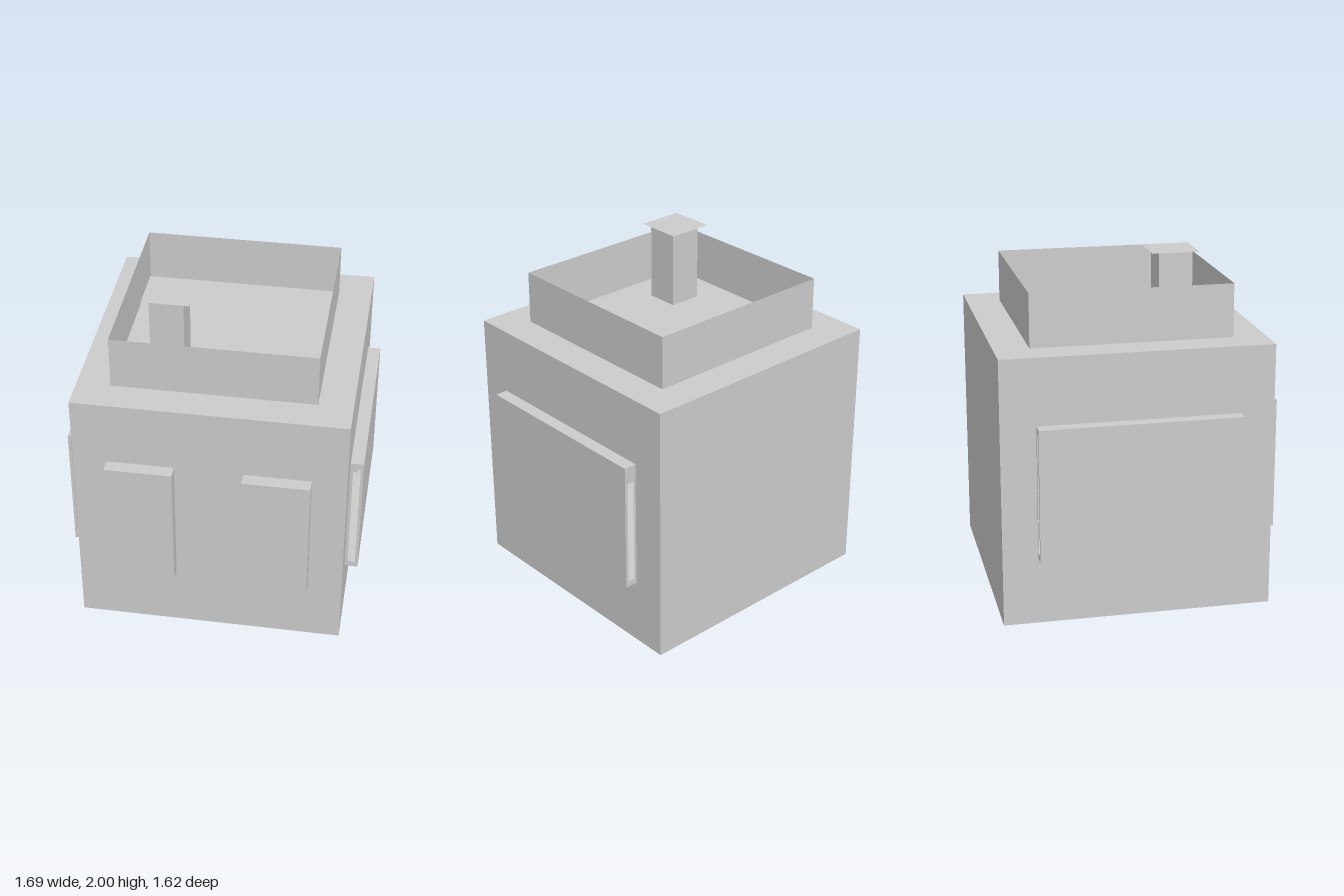
import * as THREE from 'three';
import { mergeGeometries } from 'three/addons/utils/BufferGeometryUtils.js';

const material = new THREE.MeshStandardMaterial({ color: 0xcccccc, side: THREE.DoubleSide, flatShading: true });

function outline(target, [u0, v0, u1, v1]) {
  target.moveTo(u0, v0);
  target.lineTo(u1, v0);
  target.lineTo(u1, v1);
  target.lineTo(u0, v1);
  target.closePath();
  return target;
}

// Thin rectangle across one axis; rect is (z,y) for x, (x,z) for y, (x,y) for z.
function face(axis, at, rect, holes = []) {
  const shape = outline(new THREE.Shape(), rect);
  shape.holes = holes.map((h) => outline(new THREE.Path(), h));
  const g = new THREE.ShapeGeometry(shape);
  if (axis === 'x') return g.rotateY(-Math.PI / 2).translate(at, 0, 0);
  if (axis === 'y') return g.rotateX(Math.PI / 2).translate(0, at, 0);
  return g.translate(0, 0, at);
}

// Four upright walls without top or bottom
function ring(x0, x1, y0, y1, z0, z1) {
  return [
    face('x', x0, [z0, y0, z1, y1]), face('x', x1, [z0, y0, z1, y1]),
    face('z', z0, [x0, y0, x1, y1]), face('z', z1, [x0, y0, x1, y1]),
  ];
}

export function createModel() {
  const model = new THREE.Group();
  const add = (name, faces) => {
    const mesh = new THREE.Mesh(mergeGeometries(faces), material);
    mesh.name = name;
    model.add(mesh);
  };

  const W = 0.77, H = 1.54, back = -0.81, front = 0.73;
  const low = 0.39, high = 1.155;        // panel heights
  const sideBack = -0.61, sideFront = 0.54;
  const frontPanels = [[-0.578, -0.195], [0.193, 0.575]];
  const sideRect = [sideBack, low, sideFront, high];

  // Hollow body, open behind the raised panels
  add('body', [
    face('y', 0, [-W, back, W, front]),
    face('y', H, [-W, back, W, front]),
    face('z', back, [-W, 0, W, H]),
    face('z', front, [-W, 0, W, H], frontPanels.map(([a, b]) => [a, low, b, high])),
    ...[-W, W].map((x) => face('x', x, [back, 0, front, H], [sideRect])),
  ]);

  // Raised front panels
  frontPanels.forEach(([a, b], i) => add(i ? 'leftFrontPanel' : 'rightFrontPanel', [
    face('z', 0.807, [a, low, b, high]),
    ...[a, b].map((x) => face('x', x, [front, low, 0.807, high])),
    ...[low, high].map((y) => face('y', y, [a, front, b, 0.807])),
  ]));

  // Side panels with a slot at each end
  for (const s of [-1, 1]) {
    const span = (a, b) => [Math.min(s * a, s * b), Math.max(s * a, s * b)];
    const [a, b] = span(W, 0.845), [c, d] = span(0.786, 0.828);
    add(s > 0 ? 'leftSidePanel' : 'rightSidePanel', [
      face('x', s * 0.845, sideRect),
      ...[low, high].map((y) => face('y', y, [a, sideBack, b, sideFront])),
      ...[sideBack, sideFront].map((z) => face('z', z, [a, low, b, high], [[c, 0.425, d, 1.12]])),
    ]);
  }

  // Open parapet on the roof
  add('parapet', ring(-0.578, 0.575, H, 1.847, sideBack, sideFront));

  // Chimney and its flat cap
  add('chimney', ring(-0.388, -0.195, H, 2, 0.157, 0.35));
  add('chimneyCap', [face('y', 2, [-0.425, 0.112, -0.158, 0.381])]);

  return model;
}
